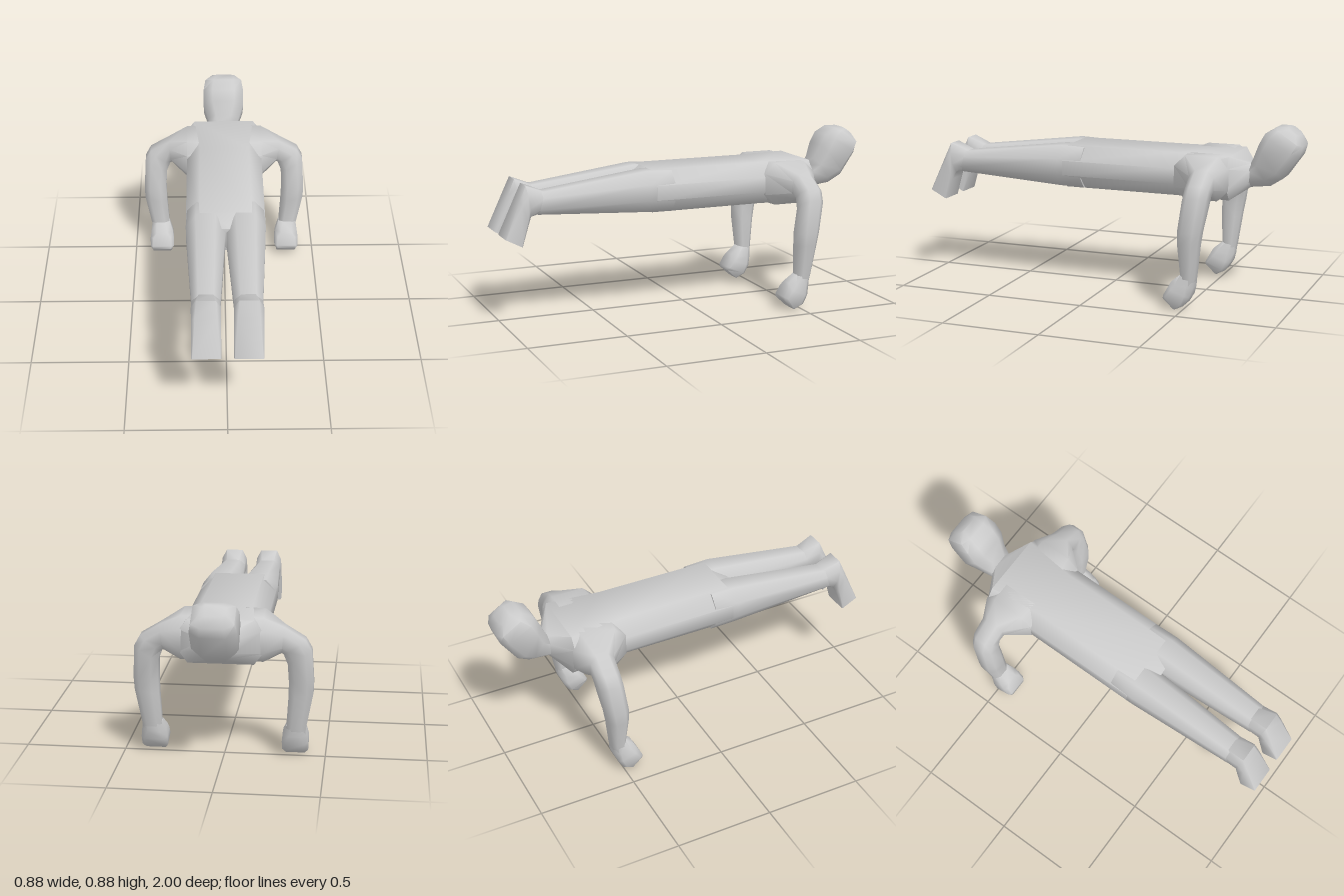
import * as THREE from 'three';
import { toCreasedNormals } from 'three/addons/utils/BufferGeometryUtils.js';

const material = new THREE.MeshStandardMaterial({ color: 0xcccccc });

// Cross-section: centre c, half-axes u and w, and how much of each half-axis its corners lose.
const section = (c, u, w, cutU = 0.5, cutW = 0.5) => {
  const a = 1 - cutU, b = 1 - cutW;
  return [[1, b], [a, 1], [-a, 1], [-1, b], [-1, -b], [-a, -1], [a, -1], [1, -b]]
    .map(([s, t]) => c.map((v, i) => v + s * u[i] + t * w[i]));
};

// Section across the body: from point (z, y) to point (z, y), x centre and half width.
const across = ([z1, y1], [z2, y2], x, halfWidth, cutU, cutW) => section(
  [x, (y1 + y2) / 2, (z1 + z2) / 2],
  [0, (y1 - y2) / 2, (z1 - z2) / 2],
  [halfWidth, 0, 0], cutU, cutW);

// Section across an arm: from outer (x, y) to inner (x, y), with a z range.
const armRing = ([x1, y1], [x2, y2], z1, z2, cutU, cutW) => section(
  [(x1 + x2) / 2, (y1 + y2) / 2, (z1 + z2) / 2],
  [(x1 - x2) / 2, (y1 - y2) / 2, 0],
  [0, 0, (z2 - z1) / 2], cutU, cutW);

// Skin over the sections with closed ends, optionally mirrored in x.
function loft(name, rings, mirror = 1) {
  const n = 8, pos = [], index = [];
  rings.forEach(r => r.forEach(([x, y, z]) => pos.push(x * mirror, y, z)));
  for (let i = 0; i < rings.length - 1; i++) {
    for (let j = 0; j < n; j++) {
      const a = i * n + j, b = i * n + (j + 1) % n;
      index.push(a, b, b + n, a, b + n, a + n);
    }
  }
  const last = (rings.length - 1) * n;
  for (let j = 1; j < n - 1; j++) {
    index.push(0, j + 1, j, last, last + j, last + j + 1);
  }
  // Signed volume tells whether the faces point outward.
  let volume = 0;
  const at = i => new THREE.Vector3().fromArray(pos, i * 3);
  for (let i = 0; i < index.length; i += 3) {
    volume += at(index[i]).dot(at(index[i + 1]).cross(at(index[i + 2])));
  }
  if (volume < 0) index.reverse();
  const geometry = new THREE.BufferGeometry();
  geometry.setAttribute('position', new THREE.Float32BufferAttribute(pos, 3));
  geometry.setIndex(index);
  const mesh = new THREE.Mesh(toCreasedNormals(geometry, 1.05), material);
  mesh.name = name;
  return mesh;
}

export function createModel() {
  const model = new THREE.Group();
  model.name = 'pushUpFigure';

  // Torso, from the neck to the hips
  model.add(loft('torso', [
    across([-0.76, 0.68], [-0.74, 0.57], 0, 0.06),
    across([-0.735, 0.685], [-0.727, 0.56], 0, 0.07),
    across([-0.657, 0.735], [-0.66, 0.517], 0, 0.2, 0.5, 0.2),
    across([-0.38, 0.735], [-0.38, 0.517], 0, 0.2, 0.65, 0.35),
    across([0.22, 0.735], [0.22, 0.517], 0, 0.2, 0.65, 0.35),
    across([0.3, 0.69], [0.3, 0.56], 0, 0.1, 0.6, 0.6),
  ]));

  // Head, from the neck up to the crown
  model.add(loft('head', [
    across([-0.73, 0.68], [-0.72, 0.565], 0, 0.065),
    across([-0.75, 0.72], [-0.84, 0.582], 0, 0.085),
    across([-0.78, 0.79], [-0.905, 0.625], 0, 0.11, 0.4, 0.45),
    across([-0.81, 0.845], [-0.985, 0.74], 0, 0.11, 0.35, 0.45),
    across([-0.866, 0.878], [-1, 0.79], 0, 0.1, 0.3, 0.45),
    across([-0.92, 0.88], [-0.975, 0.84], 0, 0.06, 0.4, 0.4),
  ]));

  for (const [side, mirror] of [['left', 1], ['right', -1]]) {
    // Leg tapering to the ankle
    model.add(loft(side + 'Leg', [
      across([0.12, 0.73], [0.12, 0.52], 0.1, 0.095),
      across([0.25, 0.735], [0.25, 0.525], 0.1, 0.1, 0.6, 0.5),
      across([0.785, 0.668], [0.82, 0.555], 0.1, 0.068, 0.5, 0.45),
      across([0.86, 0.67], [0.86, 0.56], 0.1, 0.06),
    ], mirror));

    // Foot hanging down from the heel
    model.add(loft(side + 'Foot', [
      across([0.785, 0.665], [0.82, 0.558], 0.1, 0.066),
      across([0.887, 0.705], [0.862, 0.55], 0.1, 0.07, 0.6, 0.35),
      across([0.92, 0.63], [0.876, 0.515], 0.1, 0.07, 0.35, 0.25),
      across([1, 0.45], [0.914, 0.405], 0.1, 0.07, 0.1, 0.06),
    ], mirror));

    // Shoulder and bent arm down to the wrist
    model.add(loft(side + 'Arm', [
      armRing([0.1, 0.735], [0.1, 0.517], -0.66, -0.38, 0.6, 0.35),
      armRing([0.2, 0.735], [0.2, 0.517], -0.665, -0.385, 0.5, 0.4),
      armRing([0.3, 0.685], [0.285, 0.557], -0.62, -0.495),
      armRing([0.4, 0.625], [0.295, 0.553], -0.62, -0.5),
      armRing([0.43, 0.57], [0.315, 0.5], -0.615, -0.495),
      armRing([0.44, 0.4], [0.32, 0.4], -0.59, -0.475),
      armRing([0.438, 0.34], [0.318, 0.32], -0.578, -0.475),
      armRing([0.405, 0.16], [0.308, 0.16], -0.557, -0.485),
      armRing([0.4, 0.11], [0.31, 0.11], -0.545, -0.475),
    ], mirror));

    // Fist resting on the ground
    model.add(loft(side + 'Hand', [
      across([-0.485, 0.178], [-0.555, 0.165], 0.355, 0.048),
      across([-0.437, 0.137], [-0.55, 0.115], 0.35, 0.06),
      across([-0.425, 0.11], [-0.535, 0.07], 0.35, 0.065, 0.35, 0.25),
      across([-0.403, 0.07], [-0.508, 0.025], 0.35, 0.065, 0.25, 0.2),
      across([-0.4, 0.055], [-0.46, 0], 0.35, 0.052, 0.15, 0.1),
    ], mirror));
  }
  return model;
}
